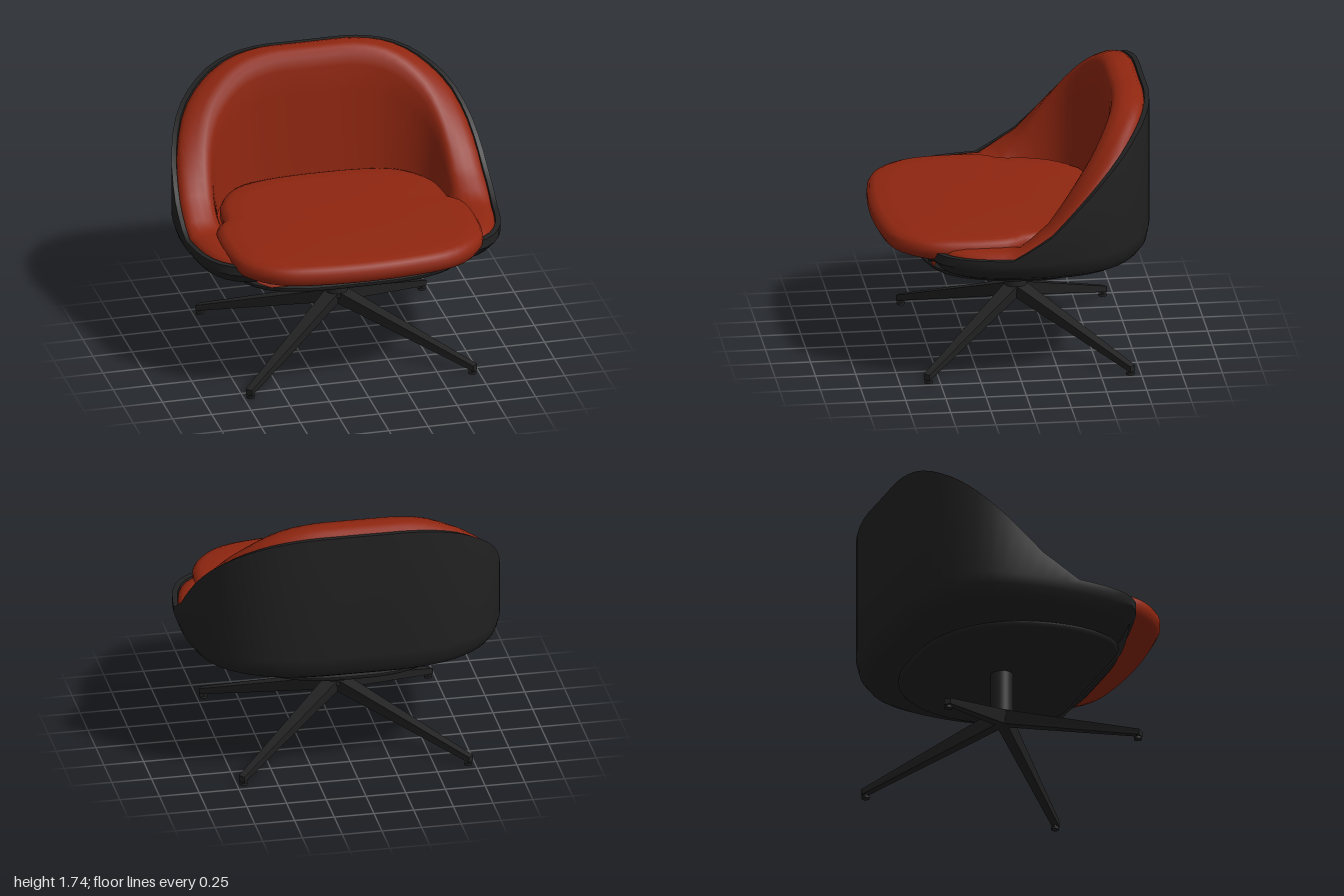
import * as THREE from 'three';
import { toCreasedNormals } from 'three/addons/utils/BufferGeometryUtils.js';

const SEGMENTS = 72;
const { lerp, clamp, smoothstep } = THREE.MathUtils;

// Closed plan outline from half of its [x, z] points, running back to front
function outline(half) {
  const mirrored = half.slice(1, -1).reverse().map(([x, z]) => [-x, z]);
  const points = [...half, ...mirrored].map(([x, z]) => new THREE.Vector3(x, 0, z));
  const curve = new THREE.CatmullRomCurve3(points, true, 'centripetal');
  return curve.getSpacedPoints(SEGMENTS).slice(0, SEGMENTS);
}

// Skin over inset copies of an outline, listed from underneath, outward and up.
// Each row is [inset, height], where height is a number or a function of the outline point.
function loft(plan, rows, zCentre, halfX, halfZ, crease = 0.7) {
  const positions = [];
  const index = [];
  rows.forEach(([inset, height], r) => {
    const fx = Math.max(0, 1 - inset / halfX);
    const fz = Math.max(0, 1 - inset / halfZ);
    plan.forEach((p, i) => {
      const y = typeof height === 'number' ? height : height(p);
      positions.push(p.x * fx, y, zCentre + (p.z - zCentre) * fz);
      if (r === rows.length - 1) return;
      const a = r * SEGMENTS + i;
      const b = r * SEGMENTS + (i + 1) % SEGMENTS;
      index.push(a, a + SEGMENTS, b, b, a + SEGMENTS, b + SEGMENTS);
    });
  });
  const geometry = new THREE.BufferGeometry();
  geometry.setAttribute('position', new THREE.Float32BufferAttribute(positions, 3));
  geometry.setIndex(index);
  return toCreasedNormals(geometry, crease);
}

// Height of the shell rim: low arms, a rising back, and a dip under the seat front
function rim({ x, z }) {
  if (z > 0.45) return lerp(0.76, 0.88, smoothstep(Math.abs(x), 0.6, 0.76));
  if (z > 0.07) return 0.88;
  if (z > -0.17) return lerp(0.88, 1.03, (0.07 - z) / 0.24);
  return lerp(1.03, 1.71, clamp((-0.17 - z) / 0.68, 0, 1));
}

export function createModel() {
  const group = new THREE.Group();
  const red = new THREE.MeshStandardMaterial({ color: 0x8f2610 });
  red.name = 'redUpholstery';
  const black = new THREE.MeshStandardMaterial({ color: 0x222222 });
  black.name = 'blackFinish';

  function add(name, geometry, material, parent = group) {
    const mesh = new THREE.Mesh(geometry, material);
    mesh.name = name;
    parent.add(mesh);
    return mesh;
  }

  // Outer bucket shell
  const shellPlan = outline([
    [0, -0.85], [0.34, -0.845], [0.555, -0.805], [0.715, -0.73], [0.865, -0.6],
    [0.945, -0.45], [0.985, -0.28], [1, -0.05], [0.985, 0.16], [0.945, 0.34],
    [0.88, 0.46], [0.77, 0.54], [0.6, 0.555], [0, 0.555],
  ]);
  const below = (y, gap) => (p) => Math.min(y, rim(p) - gap);
  const wallBase = (p) => Math.min(0.82 + 0.05 * (0.55 - p.z), rim(p) - 0.01);
  add('shell', loft(shellPlan, [
    [1, 0.68], [0.4, 0.68], [0.22, 0.69], [0.12, below(0.715, 0.03)],
    [0.055, below(0.75, 0.02)], [0.018, below(0.8, 0.015)], [0, wallBase],
    [0, rim], [0.03, rim], [0.035, (p) => rim(p) - 0.12],
  ], -0.15, 1, 0.7), black);

  // Padded liner rolling over the rim and down to the seat
  const floor = 0.86;
  const pad = (t, lift) => (p) => lerp(floor, rim(p), t) + lift;
  add('liner', loft(shellPlan, [
    [0.03, pad(1, -0.05)], [0.035, pad(1, -0.01)], [0.06, pad(1, 0.015)],
    [0.1, pad(1, 0.027)], [0.15, pad(1, 0.027)], [0.2, pad(1, 0.022)],
    [0.225, pad(0.97, 0.01)], [0.24, pad(0.9, 0)], [0.25, pad(0.7, 0)],
    [0.262, pad(0.35, 0)], [0.28, floor], [1, floor],
  ], -0.15, 1, 0.7, 1.1), red);

  // Seat cushion, wider in front of the arms
  const cushionPlan = outline([
    [0, -0.58], [0.33, -0.56], [0.5, -0.51], [0.62, -0.4], [0.69, -0.25],
    [0.725, -0.03], [0.785, 0.04], [0.81, 0.2], [0.805, 0.4], [0.77, 0.57],
    [0.65, 0.72], [0.53, 0.79], [0.33, 0.83], [0, 0.85],
  ]);
  add('seatCushion', loft(cushionPlan, [
    [0.81, 0.81], [0.06, 0.81], [0.02, 0.83], [0, 0.865], [0, 0.905],
    [0.015, 0.932], [0.05, 0.948], [0.15, 0.953], [0.81, 0.955],
  ], 0.135, 0.81, 0.715, 1.1), red);

  // Tilted rounded plate below the shell
  const platePlan = outline([
    [0, -0.65], [0.3, -0.62], [0.55, -0.48], [0.7, -0.25], [0.75, 0],
    [0.72, 0.25], [0.62, 0.45], [0.4, 0.56], [0, 0.585],
  ]);
  const tilted = (y) => (p) => y + 0.035 * (p.z + 0.035);
  add('underPlate', loft(platePlan, [
    [0.75, 0.64], [0.05, tilted(0.642)], [0.015, tilted(0.652)], [0, tilted(0.667)],
    [0, tilted(0.68)], [0.03, tilted(0.695)], [0.75, 0.698],
  ], -0.035, 0.75, 0.617, 1), black);

  // Swivel base
  const base = new THREE.Group();
  base.name = 'swivelBase';
  base.position.z = -0.055;
  group.add(base);
  add('post', new THREE.CylinderGeometry(0.07, 0.07, 0.32, 32), black, base).position.y = 0.5;

  // Tapered leg sloping from the hub to the foot
  const legLength = 0.945;
  const legGeometry = new THREE.BoxGeometry(1, 1, 1);
  const corner = legGeometry.attributes.position;
  for (let i = 0; i < corner.count; i++) {
    const outer = corner.getX(i) > 0;
    const top = corner.getY(i) > 0;
    const halfWidth = outer ? 0.022 : top ? 0.05 : 0.035;
    const y = outer ? (top ? 0.06 : 0.022) : (top ? 0.392 : 0.3);
    corner.setXYZ(i, outer ? legLength + 0.02 : 0, y, Math.sign(corner.getZ(i)) * halfWidth);
  }
  legGeometry.computeVertexNormals();

  const spread = Math.atan2(0.63, 0.71);
  for (const angle of [spread, -spread, Math.PI - spread, Math.PI + spread]) {
    const arm = new THREE.Group();
    arm.name = 'legAssembly';
    arm.rotation.y = angle;
    base.add(arm);
    add('leg', legGeometry, black, arm);
    add('footStem', new THREE.CylinderGeometry(0.01, 0.01, 0.03, 12), black, arm)
      .position.set(legLength, 0.02, 0);
    add('foot', new THREE.CylinderGeometry(0.025, 0.025, 0.015, 20), black, arm)
      .position.set(legLength, 0.0075, 0);
  }
  return group;
}
